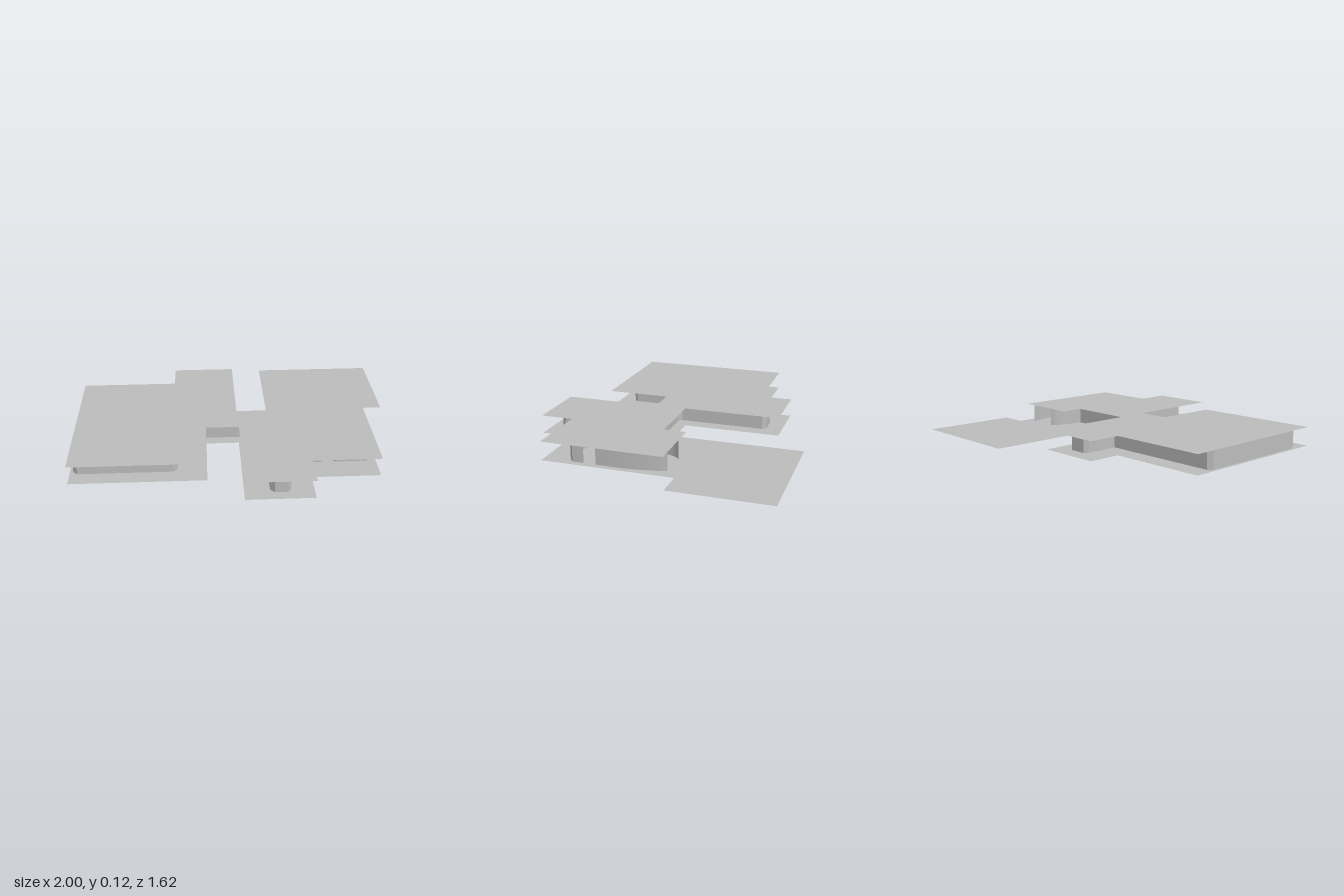
import * as THREE from 'three';

const HEIGHT = 0.115;

// Flat horizontal sheet from an outline of [x, z] points
function sheet(name, outline, y, material) {
  const shape = new THREE.Shape(outline.map(([x, z]) => new THREE.Vector2(x, -z)));
  const geometry = new THREE.ShapeGeometry(shape);
  geometry.rotateX(-Math.PI / 2);
  const mesh = new THREE.Mesh(geometry, material);
  mesh.name = name;
  mesh.position.y = y;
  return mesh;
}

// Upright strip that follows a path of [x, z] points; each panel is flat unless smooth
function wall(name, path, material, smooth = false) {
  const positions = [];
  const index = [];
  const addPair = ([x, z]) => positions.push(x, 0, z, x, HEIGHT, z);
  if (smooth) path.forEach(addPair);
  for (let i = 0; i < path.length - 1; i++) {
    if (!smooth) {
      addPair(path[i]);
      addPair(path[i + 1]);
    }
    const a = smooth ? i * 2 : i * 4;
    index.push(a, a + 2, a + 1, a + 1, a + 2, a + 3);
  }
  const geometry = new THREE.BufferGeometry();
  geometry.setAttribute('position', new THREE.Float32BufferAttribute(positions, 3));
  geometry.setIndex(index);
  geometry.computeVertexNormals();
  const mesh = new THREE.Mesh(geometry, material);
  mesh.name = name;
  return mesh;
}

// Points along a quadratic bend
function bend(a, b, c, steps = 16) {
  const v = (p) => new THREE.Vector2(p[0], p[1]);
  return new THREE.QuadraticBezierCurve(v(a), v(b), v(c)).getPoints(steps).map((p) => [p.x, p.y]);
}

export function createModel() {
  const group = new THREE.Group();
  group.name = 'floorPlan';
  const grey = new THREE.MeshStandardMaterial({ color: 0xbcbcbc, side: THREE.DoubleSide });
  grey.name = 'plain grey';

  // Outline shared by floor and ceiling, from the inner corner round the west and south
  const shared = [
    [0.01, 0], [0.01, -0.61], [-0.39, -0.61], [-0.39, -0.405], [-1, -0.405], [-1, 0.605],
    [-0.19, 0.605], [-0.19, 0.2], [0.015, 0.2], [0.015, 0.81], [0.42, 0.81], [0.42, 0.605], [0.83, 0.605],
  ];
  // The floor also carries the open north-east court
  group.add(sheet('floor', [
    ...shared, [0.83, -0.205], [1, -0.205], [1, -0.81], [0.22, -0.81], [0.22, 0],
  ], 0, grey));
  group.add(sheet('ceiling', [...shared, [0.83, -0.14], [0.42, -0.14], [0.42, 0]], HEIGHT, grey));

  // Main wall with clipped corners, from the north passage round to the south door
  group.add(wall('mainWall', [
    [0.5, 0.07], [-0.06, 0.07], [-0.08, 0.05], [-0.08, -0.485], [-0.105, -0.51],
    [-0.21, -0.51], [-0.23, -0.485], [-0.23, -0.28], [-0.955, -0.28], [-0.98, -0.255],
    [-0.98, 0.48], [-0.955, 0.505], [-0.39, 0.505], [-0.365, 0.48], [-0.365, 0.13],
    [0.165, 0.13], [0.165, 0.72], [0.19, 0.745], [0.265, 0.745], [0.285, 0.72],
    [0.285, 0.445], [0.5, 0.445],
  ], grey));

  // Corner wall between the south and east doors
  group.add(wall('cornerWall', [
    [0.565, 0.425], [0.585, 0.445], [0.77, 0.445], [0.79, 0.425], [0.79, 0.355],
  ], grey));

  // Bowed walls on both sides of the north passage
  group.add(wall('eastBowedWall', bend([0.79, 0.28], [0.805, 0.02], [0.75, -0.14]), grey, true));
  group.add(wall('westBowedWall', bend([0.565, -0.14], [0.51, -0.1], [0.5, 0.07]), grey, true));
  return group;
}
